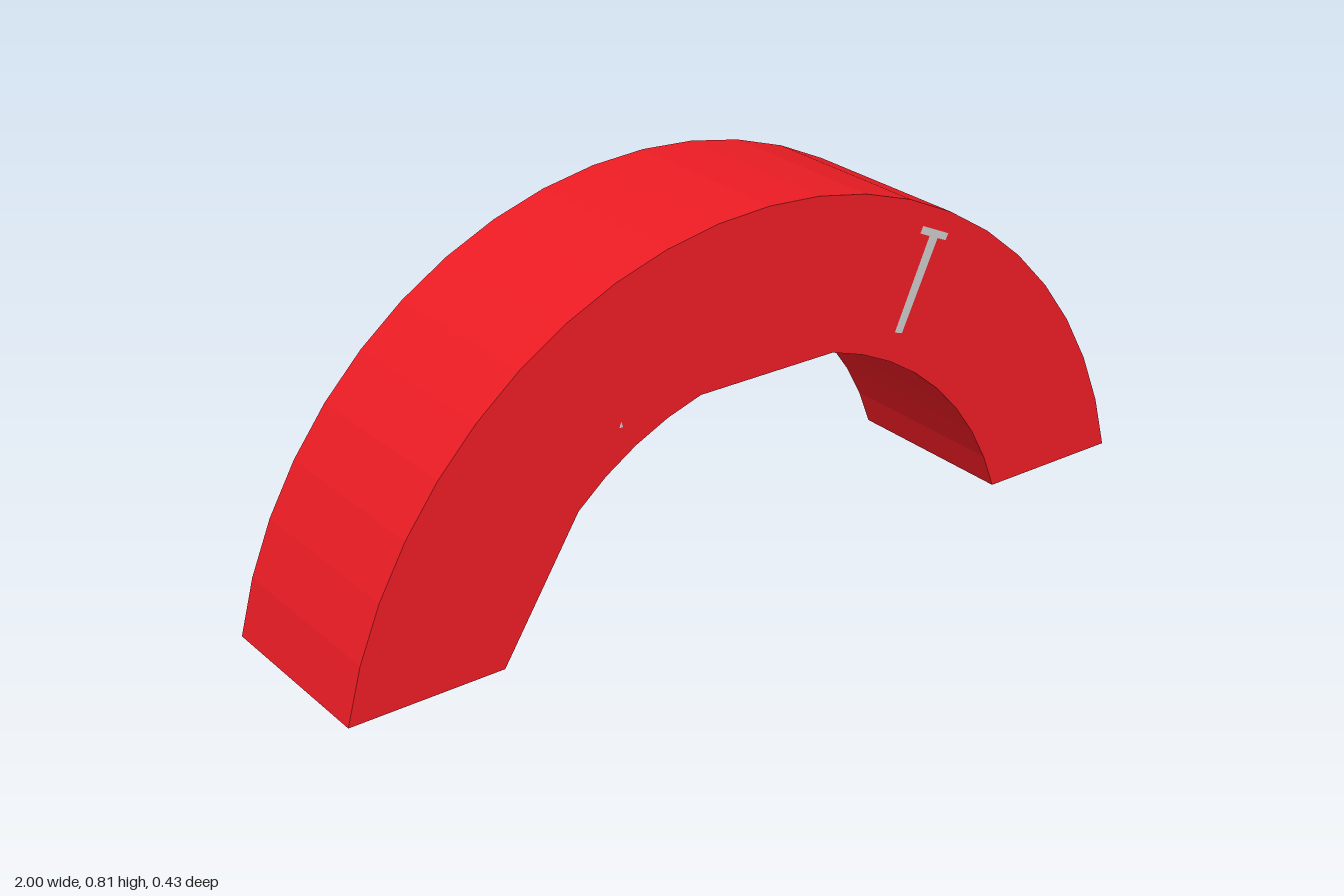
import * as THREE from 'three';

const CENTRE_Y = -0.206, DEPTH = 0.424, FRONT = DEPTH / 2;
const OUTER = { r: 1.021, half: Math.atan2(1, 0.206), steps: 11 };
const INNER = { r: 0.682, half: Math.atan2(0.65, 0.206), steps: 10 };

// Points of a ring between two step numbers (0 is the crown, negative is -x)
function arc({ r, half, steps }, from, to) {
  const points = [], dir = Math.sign(to - from);
  for (let i = from; i !== to + dir; i += dir) {
    const a = (i / steps) * half;
    points.push(new THREE.Vector2(r * Math.sin(a), Math.max(0, CENTRE_Y + r * Math.cos(a))));
  }
  return points;
}

export function createModel() {
  const group = new THREE.Group();
  group.name = 'arch';
  const red = new THREE.MeshStandardMaterial({ color: 0xed1c24, side: THREE.DoubleSide, flatShading: true });
  const grey = new THREE.MeshStandardMaterial({ color: 0xcccccc, side: THREE.DoubleSide });

  const add = (name, geometry, material) => {
    const mesh = new THREE.Mesh(geometry, material);
    mesh.name = name;
    group.add(mesh);
    return mesh;
  };
  const flat = (name, points, material, z) => {
    add(name, new THREE.ShapeGeometry(new THREE.Shape(points)), material).position.z = z;
  };

  // Faceted arch block
  const profile = new THREE.Shape([...arc(OUTER, -11, 11), ...arc(INNER, 10, -10)]);
  const body = new THREE.ExtrudeGeometry(profile, { depth: DEPTH, bevelEnabled: false });
  body.translate(0, 0, -FRONT);
  add('archBody', body, red);

  // Front face edges that cut straight across the inner curve
  flat('crownChord', arc(INNER, -2, 2), red, FRONT);
  flat('legChord', arc(INNER, -10, -6), red, FRONT);

  // Small T-shaped inlay and speck on the front face
  const v = (x, y) => new THREE.Vector2(x, y);
  flat('inlayMark', [
    v(0.34, 0.455), v(0.36, 0.448), v(0.451, 0.641), v(0.474, 0.631),
    v(0.481, 0.645), v(0.409, 0.678), v(0.402, 0.663), v(0.428, 0.651),
  ], grey, FRONT + 0.001);
  flat('inlaySpeck', [v(-0.37, 0.44), v(-0.361, 0.44), v(-0.365, 0.453)], grey, FRONT + 0.001);

  return group;
}
